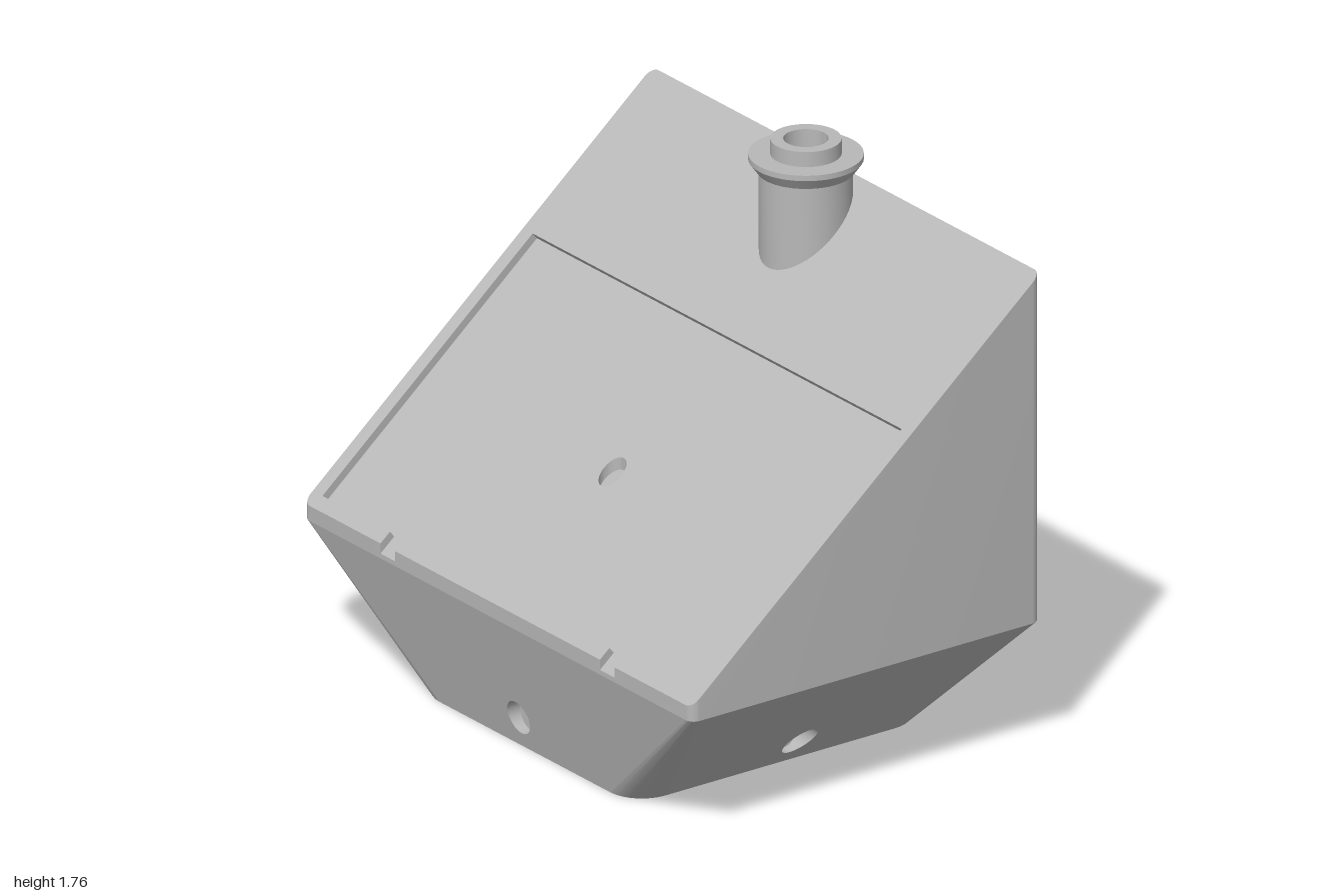
import * as THREE from 'three';
import { toCreasedNormals } from 'three/addons/utils/BufferGeometryUtils.js';

const grey = new THREE.MeshStandardMaterial({ color: 0xb8b8b8, side: THREE.DoubleSide });
grey.name = 'plastic grey';

// Sloped top plane and the inner ceiling below it
const slope = (z) => 0.5 + (0.68 - z) * 0.835;
const ceiling = (z) => slope(z) - 0.075;
const DEPTH = 0.026, NY = 0.768, NZ = 0.641; // recess depth and slope normal

// Rounded plan rectangles of the outer and inner shell, from the bottom up
const FOOT = { y: 0, hw: 0.56, z0: -0.545, z1: 0.575, r: 0.12 };
const WAIST = { y: 0.45, hw: 1, z0: -0.655, z1: 0.68, r: 0.03 };
const MOUTH = { y: 0, hw: 0.49, z0: -0.47, z1: 0.5, r: 0.08 };
const THROAT = { ...MOUTH, y: 0.2 };
const INSIDE = { y: 0.45, hw: 0.95, z0: -0.61, z1: 0.63, r: 0.03 };
const PORT_Y = 0.105, PORT_R = 0.056, BORE_R = 0.03;

const lerp = THREE.MathUtils.lerp;

function circle(cx, cy, r, n = 32) {
  return Array.from({ length: n + 1 }, (_, i) => {
    const a = (i / n) * Math.PI * 2;
    return [cx + r * Math.cos(a), cy + r * Math.sin(a)];
  });
}

function corner(R, k, n = 8) {
  const cx = (k === 0 || k === 3 ? 1 : -1) * (R.hw - R.r);
  const cz = k < 2 ? R.z1 - R.r : R.z0 + R.r;
  return Array.from({ length: n + 1 }, (_, i) => {
    const a = (k + i / n) * Math.PI / 2;
    return [cx + R.r * Math.cos(a), cz + R.r * Math.sin(a)];
  });
}
const ring = (R) => [0, 1, 2, 3].flatMap((k) => corner(R, k));

export function createModel() {
  const model = new THREE.Group();

  function add(name, geometry) {
    const mesh = new THREE.Mesh(toCreasedNormals(geometry, 0.5), grey);
    mesh.name = name;
    model.add(mesh);
  }

  // Flat outline with holes, placed in space by a rule (u, v) => [x, y, z]
  function panel(name, outline, holes, place) {
    const vec = (pts) => pts.map(([u, v]) => new THREE.Vector2(u, v));
    const shape = new THREE.Shape(vec(outline));
    shape.holes = holes.map((h) => new THREE.Path(vec(h)));
    const g = new THREE.ShapeGeometry(shape);
    const p = g.attributes.position;
    for (let i = 0; i < p.count; i++) p.setXYZ(i, ...place(p.getX(i), p.getY(i)));
    add(name, g);
  }

  // Surface between two rows of points
  function strip(name, a, b) {
    const index = [];
    const n = a.length;
    for (let i = 0; i < n - 1; i++) index.push(i, i + 1, n + i, i + 1, n + i + 1, n + i);
    const g = new THREE.BufferGeometry();
    g.setAttribute('position', new THREE.Float32BufferAttribute([...a, ...b].flat(), 3));
    g.setIndex(index);
    add(name, g);
  }

  // Four faces between two rounded rectangles: u runs along each face
  function faces(A, B) {
    const t = (y) => (y - A.y) / (B.y - A.y);
    const span = (R, alongX) => (alongX ? [R.r - R.hw, R.hw - R.r] : [R.z0 + R.r, R.z1 - R.r]);
    const make = (alongX, place, u) => ({ a: span(A, alongX), b: span(B, alongX), place, u });
    return [
      make(true, (u, y) => [u, y, lerp(A.z1, B.z1, t(y))], 0),
      make(true, (u, y) => [u, y, lerp(A.z0, B.z0, t(y))], 0),
      make(false, (u, y) => [lerp(A.hw, B.hw, t(y)), y, u], 0.015),
      make(false, (u, y) => [-lerp(A.hw, B.hw, t(y)), y, u], 0.015),
    ];
  }

  function taperedWall(name, A, B, holeR) {
    for (const f of faces(A, B)) {
      const outline = [[f.a[0], A.y], [f.a[1], A.y], [f.b[1], B.y], [f.b[0], B.y]];
      panel(name, outline, holeR ? [circle(f.u, PORT_Y, holeR)] : [], f.place);
    }
    for (let k = 0; k < 4; k++) {
      const row = (R) => corner(R, k).map(([x, z]) => [x, R.y, z]);
      strip(name + 'Corner', row(A), row(B));
    }
  }

  // Tapered base, vertical throat and flared inside
  taperedWall('baseWall', FOOT, WAIST, PORT_R);
  taperedWall('throatWall', MOUTH, THROAT, BORE_R);
  taperedWall('innerFlare', THROAT, INSIDE, 0);
  panel('bottomRim', ring(FOOT), [ring(MOUTH)], (x, z) => [x, 0, z]);

  // Counterbored port in the middle of each base wall
  const outer = faces(FOOT, WAIST), inner = faces(MOUTH, THROAT);
  const seat = faces({ ...FOOT, hw: 0.57, z0: -0.52, z1: 0.55 }, { ...WAIST, hw: 0.57, z0: -0.52, z1: 0.55 });
  outer.forEach((f, i) => {
    const big = circle(f.u, PORT_Y, PORT_R), small = circle(f.u, PORT_Y, BORE_R);
    const on = (pts, face) => pts.map(([u, y]) => face.place(u, y));
    strip('portCounterbore', on(big, f), on(big, seat[i]));
    panel('portSeat', big, [small], seat[i].place);
    strip('portBore', on(small, seat[i]), on(small, inner[i]));
  });

  // Upright walls cut off by the slope, with two notches in the front edge
  const NOTCH_IN = 0.5275, NOTCH_OUT = 0.6025, FRONT = 0.68;
  const drop = DEPTH / NY;
  const top = ring(WAIST).map(([x, z]) => [x, slope(z), z]);
  const edge = [[NOTCH_OUT, 0], [NOTCH_OUT, drop], [NOTCH_IN, drop], [NOTCH_IN, 0]];
  const notches = [...edge, ...edge.map(([x, d]) => [-x, d]).reverse()];
  top.splice(9, 0, ...notches.map(([x, d]) => [x, slope(FRONT) - d, FRONT]));
  top.push(top[0]);
  strip('upperWall', top.map(([x, , z]) => [x, WAIST.y, z]), top);

  const inside = ring(INSIDE);
  inside.push(inside[0]);
  strip('innerWall', inside.map(([x, z]) => [x, INSIDE.y, z]), inside.map(([x, z]) => [x, ceiling(z), z]));

  // Sloped top: frame round the recess and the lip between the notches
  const RX = 0.95, RB = -0.16, RF = 0.644;
  const recess = [
    [NOTCH_OUT, FRONT], [NOTCH_OUT, RF], [RX, RF], [RX, RB],
    [-RX, RB], [-RX, RF], [-NOTCH_OUT, RF], [-NOTCH_OUT, FRONT],
  ];
  const lip = [[-NOTCH_IN, FRONT], [-NOTCH_IN, RF], [NOTCH_IN, RF], [NOTCH_IN, FRONT]];
  const around = [1, 2, 3, 0].flatMap((k) => corner(WAIST, k));
  const onSlope = (x, z) => [x, slope(z), z];
  panel('topFrame', [...recess, ...around], [circle(0, -0.5, 0.07)], onSlope);
  panel('frontLip', lip, [], onSlope);

  // Recess walls and floor, set in square to the slope
  const sink = (x, z) => [x, slope(z) - DEPTH * NY, z - DEPTH * NZ];
  const reach = FRONT + DEPTH * NZ;
  const low = (pts) => pts.map(([x, z]) => [x, z === FRONT ? reach : z]);
  for (const path of [recess, lip]) {
    strip('recessWall', path.map((p) => onSlope(...p)), low(path).map((p) => sink(...p)));
  }
  const HOLE_Z = 0.24, HOLE_R = 0.043;
  const floorHole = circle(0, HOLE_Z + DEPTH * NZ, HOLE_R);
  panel('recessFloor', [...low(recess), ...low(lip)], [floorHole], sink);

  // Inner ceiling and the upright hole through the sloped panel
  const ceilingHole = circle(0, HOLE_Z, HOLE_R);
  panel('ceiling', ring(INSIDE), [ceilingHole, circle(0, -0.5, 0.07)], (x, z) => [x, ceiling(z), z]);
  strip('panelHole', floorHole.map((p) => sink(...p)), ceilingHole.map(([x, z]) => [x, ceiling(z), z]));

  // Spout: pipe with flange and neck, lower ends trimmed to the slope
  const profile = [
    [0.145, 1], [0.145, 1.655], [0.152, 1.655], [0.178, 1.692], [0.178, 1.71],
    [0.11, 1.71], [0.11, 1.76], [0.07, 1.76], [0.07, 0],
  ].map(([r, y]) => new THREE.Vector2(r, y));
  const spout = new THREE.LatheGeometry(profile, 48);
  spout.translate(0, 0, -0.5);
  const p = spout.attributes.position;
  for (let i = 0; i < p.count; i++) {
    if (p.getY(i) < 0.5) p.setY(i, ceiling(p.getZ(i)));
    else if (p.getY(i) < 1.2) p.setY(i, slope(p.getZ(i)) - 0.003);
  }
  add('spout', spout);

  return model;
}
